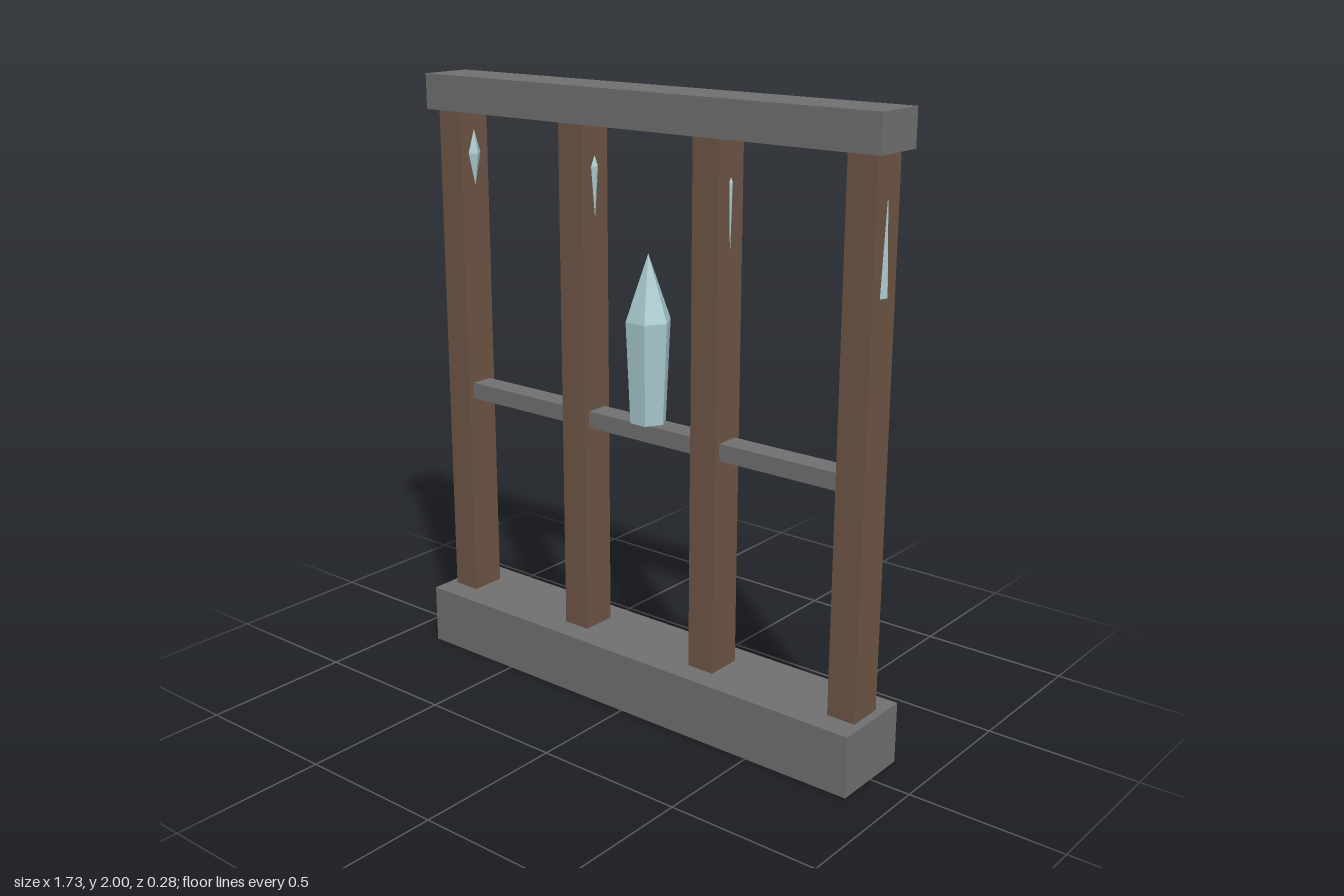
import * as THREE from 'three';

const material = (name, color) => {
  const m = new THREE.MeshStandardMaterial({ color });
  m.name = name;
  return m;
};

// Six-sided faceted crystal standing on its base, with a pointed tip
function crystalGeometry(height, baseRadius, shoulderRadius) {
  const profile = [
    [0, 0],
    [baseRadius, 0],
    [shoulderRadius, height * 0.61],
    [0, height],
  ].map(([r, y]) => new THREE.Vector2(r, y));
  const g = new THREE.LatheGeometry(profile, 6, Math.PI / 6).toNonIndexed();
  g.computeVertexNormals();
  return g;
}

export function createModel() {
  const model = new THREE.Group();
  model.name = 'crystalFence';

  const stone = material('stone', 0x707070);
  const wood = material('wood', 0x6c5544);
  const crystal = material('crystal', 0xa6c8cc);

  const add = (name, geometry, mat, x, y, z = 0) => {
    const mesh = new THREE.Mesh(geometry, mat);
    mesh.name = name;
    mesh.position.set(x, y, z);
    model.add(mesh);
    return mesh;
  };
  const box = (name, mat, w, bottom, top, d, x = 0) =>
    add(name, new THREE.BoxGeometry(w, top - bottom, d), mat, x, (bottom + top) / 2);

  // Stone base, lintel and the thin middle rail
  box('base', stone, 1.73, 0, 0.2, 0.28);
  box('topBeam', stone, 1.73, 1.885, 2, 0.18);
  box('middleRail', stone, 1.58, 0.905, 0.96, 0.08);

  // Wooden posts, each with a slightly leaning shard set into its upper part
  const shardGeometry = crystalGeometry(0.44, 0.04, 0.052);
  const posts = [
    { x: -0.79, shardX: -0.805, lean: 0.1 },
    { x: -0.263, shardX: -0.261, lean: 0.014 },
    { x: 0.263, shardX: 0.27, lean: -0.022 },
    { x: 0.79, shardX: 0.81, lean: -0.085 },
  ];
  for (const { x, shardX, lean } of posts) {
    box('post', wood, 0.096, 0.01, 1.89, 0.12, x);
    add('postShard', shardGeometry, crystal, shardX, 1.48).rotation.z = -lean;
  }

  // Large crystal standing on the middle rail
  add('centreCrystal', crystalGeometry(0.54, 0.06, 0.075), crystal, 0, 0.96);

  return model;
}
